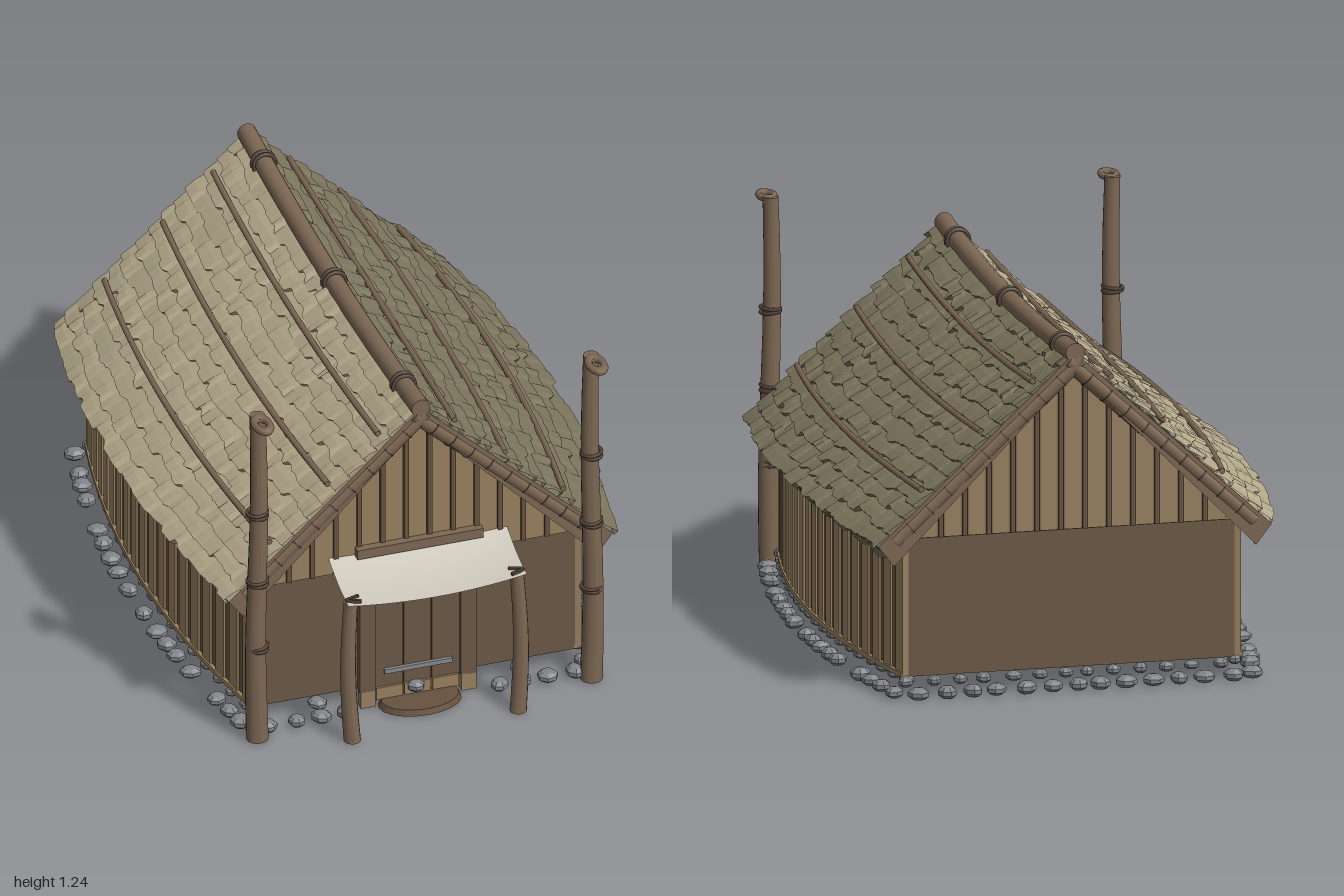
import * as THREE from 'three';

const ZC = -0.06, HALF = 0.88; // roof centre and half length
const WF = 0.77, WB = -0.89;   // front and back wall planes
const mat = (color, flatShading = true) =>
  new THREE.MeshStandardMaterial({ color, flatShading, side: THREE.DoubleSide, roughness: 0.9 });

let seed = 7;
const rnd = () => (seed = (seed * 16807) % 2147483647) / 2147483647;
const vary = (a) => (rnd() - 0.5) * 2 * a;

const V = (x, y, z) => new THREE.Vector3(x, y, z);
const wallX = (z) => 0.645 - 0.09 * ((z - ZC) / 0.83) ** 2;
const ridgeY = (z) => 1.085 + 0.04 * ((z - ZC) / HALF) ** 2;

// Point on one roof slope: t = 0 ridge, 1 eave; off = height above the slope
function roofPoint(side, t, z, off) {
  const u = (z - ZC) / HALF;
  const ex = 0.735 - 0.08 * u * u, ey = 0.535 - 0.02 * u * u, ry = ridgeY(z);
  return V(side * (ex * t + 0.61 * off), ry + (ey - ry) * t + 0.79 * off, z);
}

// Surface from a rule over a grid
function grid(nu, nv, fn, flip = false) {
  const pos = [], idx = [];
  for (let i = 0; i <= nu; i++) for (let j = 0; j <= nv; j++) pos.push(...fn(i, j).toArray());
  for (let i = 0; i < nu; i++) for (let j = 0; j < nv; j++) {
    const a = i * (nv + 1) + j, b = a + 1, c = a + nv + 1, d = c + 1;
    idx.push(...(flip ? [a, b, c, b, d, c] : [a, c, b, b, c, d]));
  }
  const g = new THREE.BufferGeometry();
  g.setAttribute('position', new THREE.Float32BufferAttribute(pos, 3));
  g.setIndex(idx);
  g.computeVertexNormals();
  return g;
}

// Move every vertex by a rule
function bend(g, fn) {
  const p = g.attributes.position, v = V(0, 0, 0);
  for (let i = 0; i < p.count; i++) {
    fn(v.fromBufferAttribute(p, i));
    p.setXYZ(i, v.x, v.y, v.z);
  }
  g.computeVertexNormals();
  return g;
}

export function createModel() {
  const root = new THREE.Group();
  const log = mat(0x7c6753, false), plank = mat(0x96805f), panel = mat(0x6b5846), batten = mat(0x67523f),
    thatch = { 1: mat(0x7c755d), [-1]: mat(0xb3a88a) }, rope = mat(0x55453a, false),
    stone = mat(0x808488), cloth = mat(0xc9c5b8, false), iron = mat(0x85888c);
  const group = (name) => { const g = new THREE.Group(); g.name = name; root.add(g); return g; };
  const add = (parent, name, geo, m, x = 0, y = 0, z = 0) => {
    const o = new THREE.Mesh(geo, m);
    o.name = name;
    o.position.set(x, y, z);
    parent.add(o);
    return o;
  };
  const box = (parent, name, w, h, d, m, x, y, z) => add(parent, name, new THREE.BoxGeometry(w, h, d), m, x, y, z);
  const rod = (parent, name, a, b, r, m) => {
    const d = b.clone().sub(a), o = add(parent, name, new THREE.CylinderGeometry(r, r, d.length(), 12), m);
    o.position.copy(a).addScaledVector(d, 0.5);
    o.quaternion.setFromUnitVectors(V(0, 1, 0), d.normalize());
  };
  // Rope tie: two rings round an upright
  const tie = (parent, r, x, y, z) => [-0.006, 0.006].forEach((dy) => {
    const o = add(parent, 'ropeTie', new THREE.TorusGeometry(r, 0.006, 6, 16), rope, x, y + dy, z);
    o.rotation.set(Math.PI / 2, dy * 15, 0);
  });

  // Hall body with bowed long sides
  const N = 16, right = [], left = [];
  for (let i = 0; i <= N; i++) {
    const z = WB + (WF - WB) * i / N, x = wallX(z) - 0.012;
    right.push(new THREE.Vector2(x, -z));
    left.unshift(new THREE.Vector2(-x, -z));
  }
  const hull = new THREE.ExtrudeGeometry(new THREE.Shape([...right, ...left]), { depth: 0.46, bevelEnabled: false });
  hull.rotateX(-Math.PI / 2);
  add(root, 'hallBody', hull, panel, 0, 0.065, 0);

  // Upright boards and recessed strips on the long sides
  const sides = group('sideWalls');
  for (const s of [-1, 1]) {
    for (let i = 0; i < 37; i++) {
      const z = WB + 0.025 + (WF - WB - 0.05) * i / 36, wide = i % 2 === 0;
      const o = box(sides, wide ? 'wallBoard' : 'wallStrip', wide ? 0.026 : 0.012, 0.46, wide ? 0.054 : 0.036,
        wide ? plank : batten, s * (wallX(z) - 0.004), 0.30, z);
      o.rotation.y = -s * 0.26 * (z - ZC);
    }
    const sill = bend(new THREE.BoxGeometry(0.03, 0.016, WF - WB, 1, 1, 16),
      (v) => { v.z += ZC; v.x += s * wallX(v.z); v.y += 0.073; });
    add(sides, 'sill', sill, plank);
  }

  // Gables: backing, stepped boards, banded rafters
  for (const [z, out] of [[WF, 1], [WB, -1]]) {
    const g = group(out > 0 ? 'frontGable' : 'backGable');
    const top = (x) => 1.08 - 0.94 * Math.abs(x);
    const tri = new THREE.Shape([new THREE.Vector2(-0.56, 0.525), new THREE.Vector2(0.56, 0.525), new THREE.Vector2(0, 1.075)]);
    add(g, 'gableBacking', new THREE.ExtrudeGeometry(tri, { depth: 0.01, bevelEnabled: false }), plank, 0, 0, z - 0.005);
    for (let i = -6; i <= 6; i++) {
      const x = i * 0.08, h = top(x) - 0.53;
      box(g, 'gableBoard', 0.06, h, 0.02, plank, x, 0.53 + h / 2, z + out * 0.009);
      const xb = x + 0.04, hb = top(xb) - 0.53;
      if (i < 6) box(g, 'gableBatten', 0.016, hb, 0.03, batten, xb, 0.53 + hb / 2, z + out * 0.01);
    }
    const ze = ZC + out * (HALF - 0.022);
    for (const s of [-1, 1]) {
      const at = (t) => roofPoint(s, t, ze, -0.033);
      rod(g, 'rafter', at(0), at(0.94), 0.029, log);
      for (let k = 0; k < 9; k++) rod(g, 'rafterBand', at(0.1 + k * 0.095), at(0.105 + k * 0.095), 0.031, rope);
    }
  }

  // Roof: slab thickening at the eave, ragged thatch courses, holding poles
  const roof = group('roof');
  const NZ = 110, zr = (i) => ZC - HALF + 2 * HALF * i / NZ;
  for (const s of [-1, 1]) {
    const loop = [[0, 0], [1, 0], [0.99, -0.085], [0.9, -0.05], [0, -0.045], [0, 0]];
    const ragged = Array.from({ length: NZ + 1 }, (_, i) => 0.009 * Math.sin(i * 0.6) + vary(0.006));
    add(roof, 'roofSlab', grid(NZ, 5, (i, j) => {
      const p = roofPoint(s, loop[j][0], zr(i), loop[j][1]);
      if (j === 2) p.y += ragged[i];
      return p;
    }, s < 0), thatch[s]);
    for (const e of [0, NZ])
      add(roof, 'roofEnd', grid(1, 1, (i, j) => roofPoint(s, i, zr(e), -(0.045 + 0.04 * i) * j), (s > 0) === (e > 0)), log);

    const rows = 14;
    for (let r = 0; r < rows; r++) {
      const edge = [], lift = [];
      let e = 0, l = 0.015, run = 0;
      for (let i = 0; i <= NZ; i++) {
        if (run-- <= 0) { run = 1 + Math.floor(rnd() * 4); e = vary(0.014); l = 0.008 + rnd() * 0.014; }
        edge.push(Math.min((r + 1) / rows + 0.01 + e + vary(0.003), 1.015));
        lift.push(l);
      }
      add(roof, 'thatchCourse', grid(NZ, 3, (i, j) => {
        const t0 = r / rows, t1 = edge[i];
        if (j === 0) return roofPoint(s, t0, zr(i), 0.002);
        if (j === 1) return roofPoint(s, (t0 + t1) / 2, zr(i), lift[i] * 0.7);
        return roofPoint(s, t1 - (j === 3 ? 0.006 : 0), zr(i), j === 2 ? lift[i] : -0.004);
      }, s < 0), thatch[s]);
    }
    for (const t of [0.18, 0.44, 0.74]) {
      const g = new THREE.CylinderGeometry(0.01, 0.01, 1.67, 8, 24);
      g.rotateX(Math.PI / 2);
      add(roof, 'roofPole', bend(g, (v) => {
        const p = roofPoint(s, t, v.z + ZC, 0.018);
        v.set(v.x + p.x, v.y + p.y, p.z);
      }), log);
    }
  }

  // Sagging ridge log with rope wraps
  const ridge = new THREE.CylinderGeometry(0.032, 0.032, 2 * HALF + 0.004, 16, 16);
  ridge.rotateX(Math.PI / 2);
  add(roof, 'ridgeLog', bend(ridge, (v) => { v.z += ZC; v.y += ridgeY(v.z); }), log);
  for (const z of [0.64, -0.06, -0.77]) for (const d of [-0.01, 0.01])
    add(roof, 'ridgeRope', new THREE.TorusGeometry(0.037, 0.007, 6, 16), rope, 0, ridgeY(z), z + d);

  // Tall poles with a loop at the top
  for (const s of [-1, 1]) {
    const g = group(s > 0 ? 'leftPole' : 'rightPole'), x = s * 0.57;
    const geo = bend(new THREE.CylinderGeometry(0.026, 0.037, 1.235, 16, 8), (v) => {
      v.y += 0.6175;
      v.x += s * 0.006 * Math.sin(v.y * 5);
    });
    add(g, 'pole', geo, log, x, 0, 0.855);
    for (const y of [0.35, 0.6, 0.86]) tie(g, 0.033, x, y, 0.855);
    const hook = add(g, 'poleLoop', new THREE.TorusGeometry(0.024, 0.012, 8, 16), log, x, 1.228, 0.905);
    hook.rotation.x = Math.PI / 2;
    hook.scale.y = 1.75;
  }

  // Door with jambs, boards and iron straps
  const door = group('door');
  for (const s of [-1, 1]) {
    box(door, 'doorJamb', 0.055, 0.47, 0.03, panel, s * 0.172, 0.295, WF + 0.012);
    box(door, 'jambFoot', 0.05, 0.064, 0.03, plank, s * 0.172, 0.032, WF + 0.012);
  }
  for (let i = -1; i <= 1; i++) {
    box(door, 'doorBoard', 0.093, 0.46, 0.016, panel, i * 0.096, 0.295, WF + 0.008);
    box(door, 'threshold', 0.09, 0.045, 0.03, plank, i * 0.096, 0.04, WF + 0.005);
  }
  for (const y of [0.125, 0.415]) box(door, 'doorStrap', 0.23, 0.016, 0.012, iron, 0, y, WF + 0.022);
  const step = add(door, 'doorStep', new THREE.CylinderGeometry(0.13, 0.14, 0.02, 20), batten, 0, 0.01, 0.81);
  step.scale.z = 0.65;

  // Porch: curved posts, sagging cloth and its beam
  const porch = group('porch');
  const awningY = (a, q) => 0.6 - 0.07 * q - 0.024 * (1 - a * a) * (0.3 + 0.7 * q) - 0.012 * Math.sin(q * Math.PI);
  add(porch, 'awning', grid(16, 6, (i, j) => {
    const a = i / 8 - 1, q = j / 6;
    return V(a * 0.305, awningY(a, q), 0.775 + 0.215 * q);
  }, true), cloth);
  box(porch, 'awningBeam', 0.43, 0.034, 0.035, log, 0, 0.603, WF + 0.03);
  for (const s of [-1, 1]) {
    const post = bend(new THREE.CylinderGeometry(0.023, 0.028, 0.52, 14, 8), (v) => {
      v.y += 0.26;
      v.x += s * (0.283 + 0.012 * Math.sin(v.y / 0.52 * Math.PI));
      v.z += 0.965 - 0.03 * v.y;
    });
    add(porch, 'porchPost', post, log);
    for (const d of [-0.01, 0.01])
      box(porch, 'awningLashing', 0.05, 0.01, 0.009, rope, s * 0.28, 0.534, 0.962 + d).rotation.y = s * d * 30;
  }

  // Foundation stones: low outer ones and small raised ones against the walls
  const stones = group('foundationStones');
  const pebble = (x, y, z, r = 0.032) => {
    const o = add(stones, 'stone', new THREE.SphereGeometry(r, 7, 5), stone, x, y, z);
    o.scale.set(0.9 + rnd() * 0.3, 0.68 + vary(0.08), 0.9 + rnd() * 0.3);
    o.rotation.y = rnd() * 6;
  };
  for (const s of [-1, 1]) for (let i = 0; i < 20; i++) {
    const z = WB - 0.02 + (WF - WB + 0.04) * i / 19, zo = z + vary(0.02);
    if (i % 6 !== 4) pebble(s * (wallX(zo) + 0.045), 0.022, zo);
    pebble(s * (wallX(z) - 0.005), 0.055, z + 0.03, 0.024);
  }
  for (let i = 0; i < 13; i++) {
    const x = -0.52 + i * 0.0867 + vary(0.01);
    pebble(x, 0.022, -0.953);
    pebble(x + 0.03, 0.05, WB - 0.01, 0.024);
    if (Math.abs(x) > 0.2) pebble(x, 0.022, 0.83);
    if (i % 4 === 2) pebble(x, 0.05, WF + 0.02, 0.03);
  }
  return root;
}
